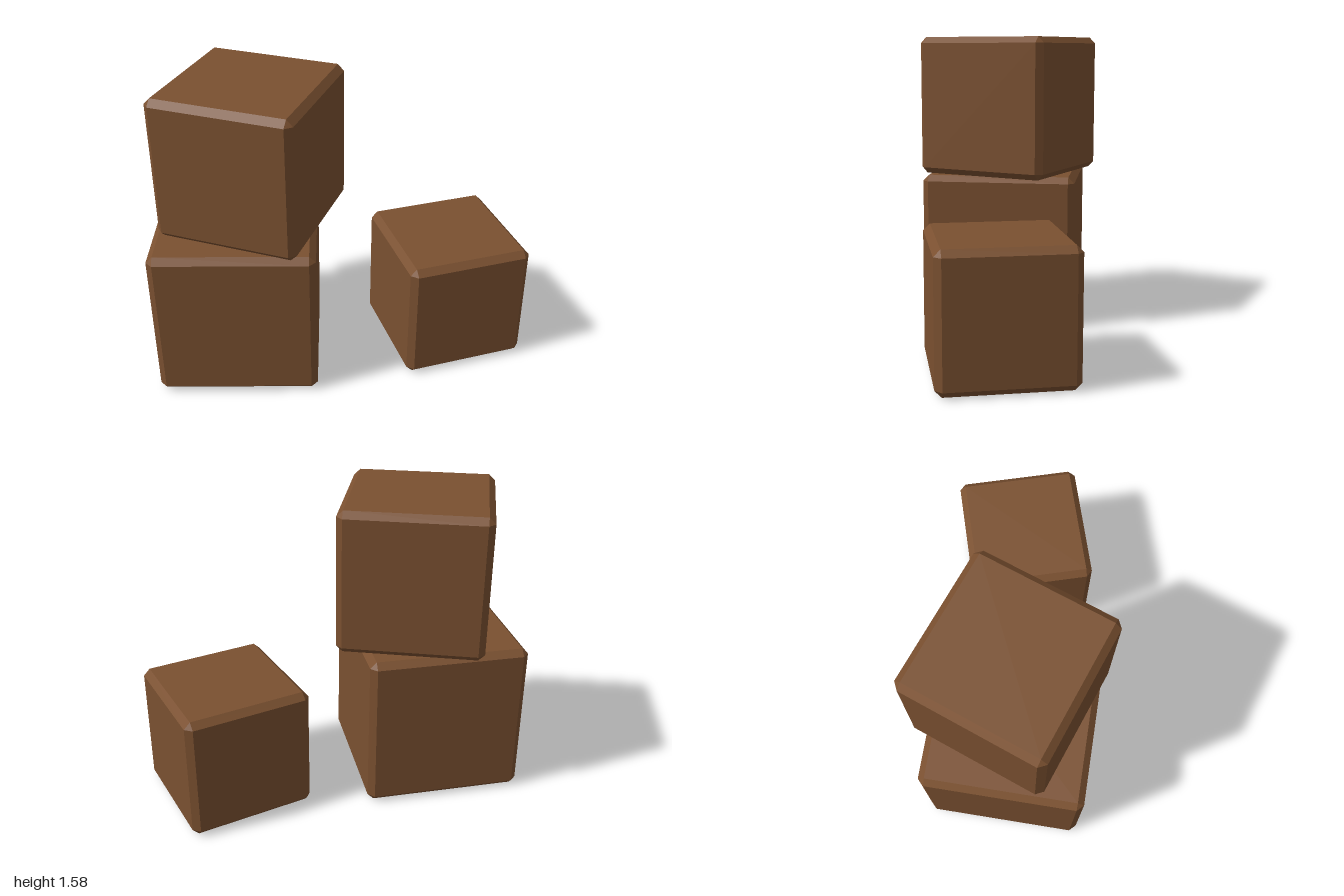
import * as THREE from 'three';
import { ConvexGeometry } from 'three/addons/geometries/ConvexGeometry.js';

const BEVEL = 0.033;

// Cube with flat chamfers along every edge, standing on y = 0
function chamferedCube(size) {
  const h = size / 2, k = h - BEVEL;
  const points = [];
  for (const sx of [-1, 1]) for (const sy of [-1, 1]) for (const sz of [-1, 1]) {
    points.push(
      new THREE.Vector3(sx * h, sy * k, sz * k),
      new THREE.Vector3(sx * k, sy * h, sz * k),
      new THREE.Vector3(sx * k, sy * k, sz * h),
    );
  }
  return new ConvexGeometry(points).translate(0, h, 0);
}

export function createModel() {
  const group = new THREE.Group();
  group.name = 'crateStack';
  const brown = new THREE.MeshStandardMaterial({ color: 0x7a5030, flatShading: true });
  brown.name = 'brown';

  // Two stacked crates and a smaller one beside them, each turned a little
  const crates = [
    { name: 'bottomCrate', size: 0.833, at: [-0.518, 0, 0.142], turn: 0.195 },
    { name: 'topCrate', size: 0.75, at: [-0.435, 0.833, 0.1], turn: -0.15 },
    { name: 'sideCrate', size: 0.667, at: [0.563, 0, -0.191], turn: 0.495 },
  ];
  for (const { name, size, at, turn } of crates) {
    const crate = new THREE.Mesh(chamferedCube(size), brown);
    crate.name = name;
    crate.position.set(...at);
    crate.rotation.y = turn;
    group.add(crate);
  }
  return group;
}
